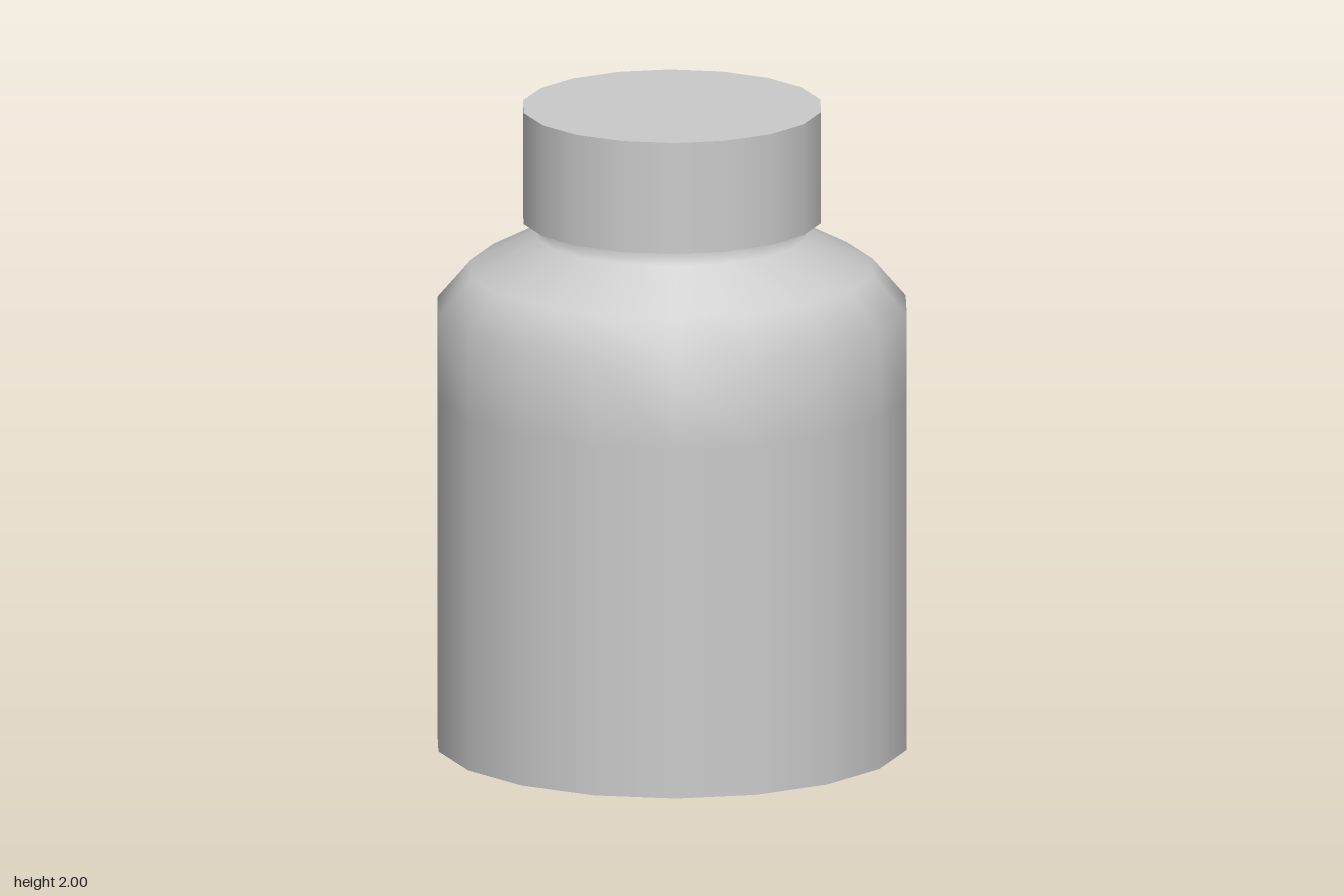
import * as THREE from 'three';

const SIDES = 18;
const START = Math.PI / 2; // puts a corner of the polygon on the x axis

export function createModel() {
  const group = new THREE.Group();
  const material = new THREE.MeshStandardMaterial({ color: 0xcccccc });

  const add = (name, geometry, y = 0) => {
    const mesh = new THREE.Mesh(geometry, material);
    mesh.name = name;
    mesh.position.y = y;
    group.add(mesh);
  };

  // Body wall, sloping shoulder and short neck
  const profile = [
    [0.727, 0], [0.727, 1.1], [0.727, 1.37], [0.625, 1.49], [0.415, 1.6], [0.415, 1.65],
  ].map(([r, y]) => new THREE.Vector2(r, y));
  add('body', new THREE.LatheGeometry(profile, SIDES, START));

  // Flat underside
  add('base', new THREE.CircleGeometry(0.727, SIDES).rotateX(Math.PI / 2));

  // Lid, wider than the neck
  add('lid', new THREE.CylinderGeometry(0.462, 0.462, 0.35, SIDES, 1, false, START), 1.825);

  return group;
}
